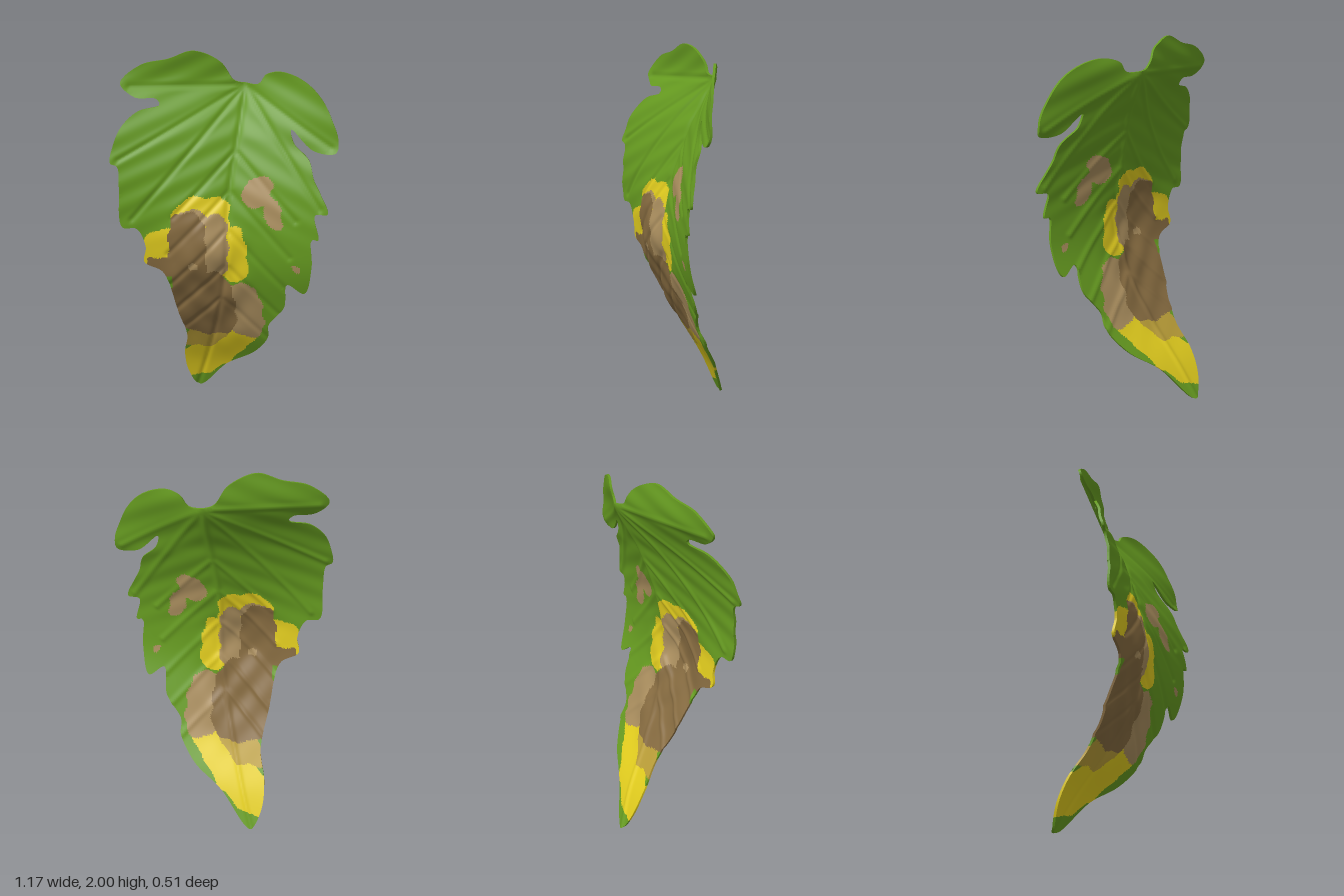
import * as THREE from 'three';

const { smoothstep, clamp } = THREE.MathUtils;

// Leaf margin, clockwise from the stalk notch: first the +x half, then the -x half
const marginA = [[0.1, 1.83], [0.17, 1.83], [0.21, 1.88], [0.28, 1.9], [0.37, 1.88], [0.45, 1.83], [0.51, 1.76],
  [0.55, 1.68], [0.585, 1.58], [0.575, 1.515], [0.46, 1.52], [0.345, 1.62], [0.36, 1.55], [0.44, 1.47],
  [0.465, 1.38], [0.5, 1.31], [0.54, 1.21], [0.475, 1.2], [0.495, 1.07], [0.462, 1.07], [0.465, 0.92], [0.43, 0.75],
  [0.34, 0.8], [0.325, 0.65], [0.24, 0.52], [0.24, 0.44], [0.16, 0.31], [0, 0.19]];
const marginB = [[-0.17, 0], [-0.23, 0.1], [-0.245, 0.25], [-0.22, 0.4], [-0.26, 0.6], [-0.32, 0.85],
  [-0.42, 0.91], [-0.41, 1], [-0.455, 1.1], [-0.53, 1.11], [-0.54, 1.32], [-0.55, 1.43], [-0.585, 1.45],
  [-0.57, 1.54], [-0.53, 1.63], [-0.45, 1.7], [-0.34, 1.73], [-0.36, 1.76], [-0.47, 1.77], [-0.545, 1.84],
  [-0.44, 1.93], [-0.3, 1.96], [-0.17, 2], [-0.03, 1.94], [0.04, 1.845]];
const margin = new THREE.CatmullRomCurve3(
  [...marginA, ...marginB].map(([x, y]) => new THREE.Vector3(x, y, 0)), true, 'centripetal').getPoints(500);

// Colour patches, later ones on top: centre x, y, half width, half height, slant
const GREEN = 0, YELLOW = 1, OCHRE = 2, TAN = 3, BROWN = 4;
const patches = [
  [YELLOW, -0.12, 1.15, 0.15, 0.12, 0.15],
  [YELLOW, -0.34, 0.99, 0.085, 0.11, 0.3],
  [YELLOW, 0.05, 0.96, 0.075, 0.16, -0.12],
  [YELLOW, -0.085, 0.28, 0.155, 0.21, 0.8],
  [OCHRE, -0.13, 0.4, 0.12, 0.08, 0.6],
  [TAN, -0.04, 1, 0.065, 0.18],
  [TAN, -0.16, 1.16, 0.08, 0.04],
  [TAN, 0.11, 0.61, 0.1, 0.18, -0.12],
  [BROWN, -0.19, 0.98, 0.1, 0.21],
  [BROWN, -0.11, 0.65, 0.17, 0.22, -0.1],
  [BROWN, -0.33, 0.88, 0.08, 0.06],
  [TAN, -0.165, 0.89, 0.025, 0.02],
  [TAN, 0.175, 1.3, 0.073, 0.078, 0.25],
  [TAN, 0.255, 1.2, 0.047, 0.085, -0.25],
  [TAN, 0.38, 0.9, 0.02, 0.02],
];

// Sideways run of the midrib and its depth by height
const midribX = (y) => 0.02 - 0.2 * Math.max(0, 1 - y) ** 1.5 + 0.08 * smoothstep(y, 1.15, 1.9);
const midribZ = new THREE.CubicInterpolant(
  [0, 0.2, 0.5, 0.85, 1.2, 1.55, 1.83, 2.01], [-0.235, -0.14, 0.045, 0.16, 0.162, 0.067, -0.065, -0.06], 1);

// Main veins fan out from the stalk, side veins leave the midrib in pairs
const veins = [[-0.5, 1.82], [-0.55, 1.46], [-0.48, 1.15], [0.55, 1.54], [0.5, 1.23]].map(([x, y]) => [0.1, 1.82, x, y]);
for (let y = 1.5; y > 0.7; y -= 0.2) {
  for (const s of [-1, 1]) veins.push([midribX(y), y, midribX(y) + s * 0.32, y - 0.34]);
}

function veinDistance(x, y) {
  let best = Math.abs(x - midribX(y));
  for (const [x0, y0, x1, y1] of veins) {
    const dx = x1 - x0, dy = y1 - y0;
    const t = clamp(((x - x0) * dx + (y - y0) * dy) / (dx * dx + dy * dy), 0, 1);
    best = Math.min(best, Math.hypot(x - x0 - t * dx, y - y0 - t * dy));
  }
  return best;
}

const blob = (x, y, cx, cy, rx, ry) => Math.exp(-(((x - cx) / rx) ** 2) - ((y - cy) / ry) ** 2);

// Depth of the blade: folded and twisted bend, grooved veins, puckers and withered wrinkles
function bladeZ(x, y) {
  const d = x - midribX(y), v = veinDistance(x, y);
  const slope = d < 0
    ? -0.17 + 0.21 * smoothstep(y, 0.3, 0.85) + 0.13 * smoothstep(y, 0.85, 1.6) + 0.04 * blob(0, y, 0, 1.72, 1, 0.1)
    : 0.17 - 0.07 * blob(0, y, 0, 0.65, 1, 0.2) + 0.03 * smoothstep(y, 1, 1.5) + 0.28 * smoothstep(y, 1.5, 1.86);
  const fold = slope * (Math.hypot(d, 0.01) - 0.01);
  const groove = -0.008 * Math.exp(-((v / 0.014) ** 2));
  const pucker = 0.0028 * Math.sin(48 * y + 22 * Math.abs(d)) * Math.min(1, v / 0.04) * smoothstep(y, 0.9, 1.3);
  const wrinkle = 0.009 * blob(x, y, -0.08, 0.75, 0.2, 0.32) * (Math.sin(33 * x + 5 * y) * Math.sin(25 * y) + Math.sin(19 * y - 14 * x + 1));
  const bulge = 0.045 * blob(x, y, -0.1, 0.97, 0.17, 0.22);
  return midribZ.evaluate(y)[0] + fold + groove + pucker + wrinkle + bulge;
}

function insideMargin(x, y) {
  let hit = false;
  for (let i = 0, j = margin.length - 1; i < margin.length; j = i++) {
    const a = margin[i], b = margin[j];
    if ((a.y > y) !== (b.y > y) && x < ((b.x - a.x) * (y - a.y)) / (b.y - a.y) + a.x) hit = !hit;
  }
  return hit;
}

// Rounded patches with a ragged edge
function colourAt(x, y) {
  const wx = x + 0.007 * Math.sin(55 * y), wy = y + 0.007 * Math.sin(50 * x);
  let colour = GREEN;
  for (const [m, cx, cy, rx, ry, slant = 0] of patches) {
    const u = (wx - cx - slant * (wy - cy)) / rx, v = (wy - cy) / ry;
    if (Math.abs(u) ** 3 + Math.abs(v) ** 3 < 1) colour = m;
  }
  return colour;
}

// Flat triangle grid trimmed to the margin
function buildGrid() {
  const step = 0.01, nx = 121, ny = 203, x0 = -0.605, y0 = -0.01;
  const ids = new Map(), points = [], tris = [], edges = new Map();
  const at = (k) => [x0 + (k % nx) * step, y0 + Math.floor(k / nx) * step];
  const id = (k) => {
    if (!ids.has(k)) { ids.set(k, points.length); points.push(at(k)); }
    return ids.get(k);
  };
  for (let j = 0; j < ny - 1; j++) for (let i = 0; i < nx - 1; i++) {
    const a = j * nx + i, b = a + 1, c = b + nx, d = a + nx;
    for (const t of [[a, b, c], [a, c, d]]) {
      const [p, q, r] = t.map(at);
      const cx = (p[0] + q[0] + r[0]) / 3, cy = (p[1] + q[1] + r[1]) / 3;
      if (!insideMargin(cx, cy)) continue;
      const v = t.map(id), colour = colourAt(cx, cy);
      tris.push({ v, colour });
      v.forEach((u, e) => {
        const w = v[(e + 1) % 3];
        edges.set(u + '_' + w, { u, w, colour });
      });
    }
  }
  const border = [...edges.values()].filter((e) => !edges.has(e.w + '_' + e.u));
  // Pull the border onto the smooth margin
  for (const k of new Set(border.flatMap((e) => [e.u, e.w]))) {
    const [x, y] = points[k];
    const gap = (m) => Math.hypot(m.x - x, m.y - y);
    const near = margin.reduce((best, m) => (gap(m) < gap(best) ? m : best));
    points[k] = [near.x, near.y];
  }
  return { points, tris, border };
}

// Mesh whose faces are grouped by colour
function colouredMesh(name, positions, faces, materials) {
  const g = new THREE.BufferGeometry();
  g.setAttribute('position', new THREE.Float32BufferAttribute(positions, 3));
  const index = [];
  materials.forEach((_, m) => {
    const start = index.length;
    for (const f of faces) if (f.colour === m) index.push(...f.v);
    if (index.length > start) g.addGroup(start, index.length - start, m);
  });
  g.setIndex(index);
  g.computeVertexNormals();
  const mesh = new THREE.Mesh(g, materials);
  mesh.name = name;
  return mesh;
}

export function createModel() {
  const colours = { leafGreen: 0x669b20, yellowing: 0xe2cd1e, ochre: 0xba9e38, dryTan: 0xaa8e5e, deadBrown: 0x866b40 };
  const materials = Object.entries(colours).map(([name, color]) => {
    const m = new THREE.MeshStandardMaterial({ color });
    m.name = name;
    return m;
  });
  const { points, tris, border } = buildGrid();
  const half = 0.007, n = points.length;
  const heights = points.map(([x, y]) => bladeZ(x, y));
  const layer = (dz) => points.flatMap(([x, y], i) => [x, y, heights[i] + dz]);
  const front = layer(half), back = layer(-half);

  const leaf = new THREE.Group();
  leaf.name = 'leaf';
  leaf.add(colouredMesh('upperSurface', front, tris, materials));
  const flipped = tris.map(({ v: [a, b, c], colour }) => ({ v: [a, c, b], colour }));
  leaf.add(colouredMesh('lowerSurface', back, flipped, materials));
  // Thin rim joining both surfaces
  const rim = border.map(({ u, w, colour }) => ({ v: [u, u + n, w + n, u, w + n, w], colour }));
  leaf.add(colouredMesh('leafRim', front.concat(back), rim, materials));
  return leaf;
}
